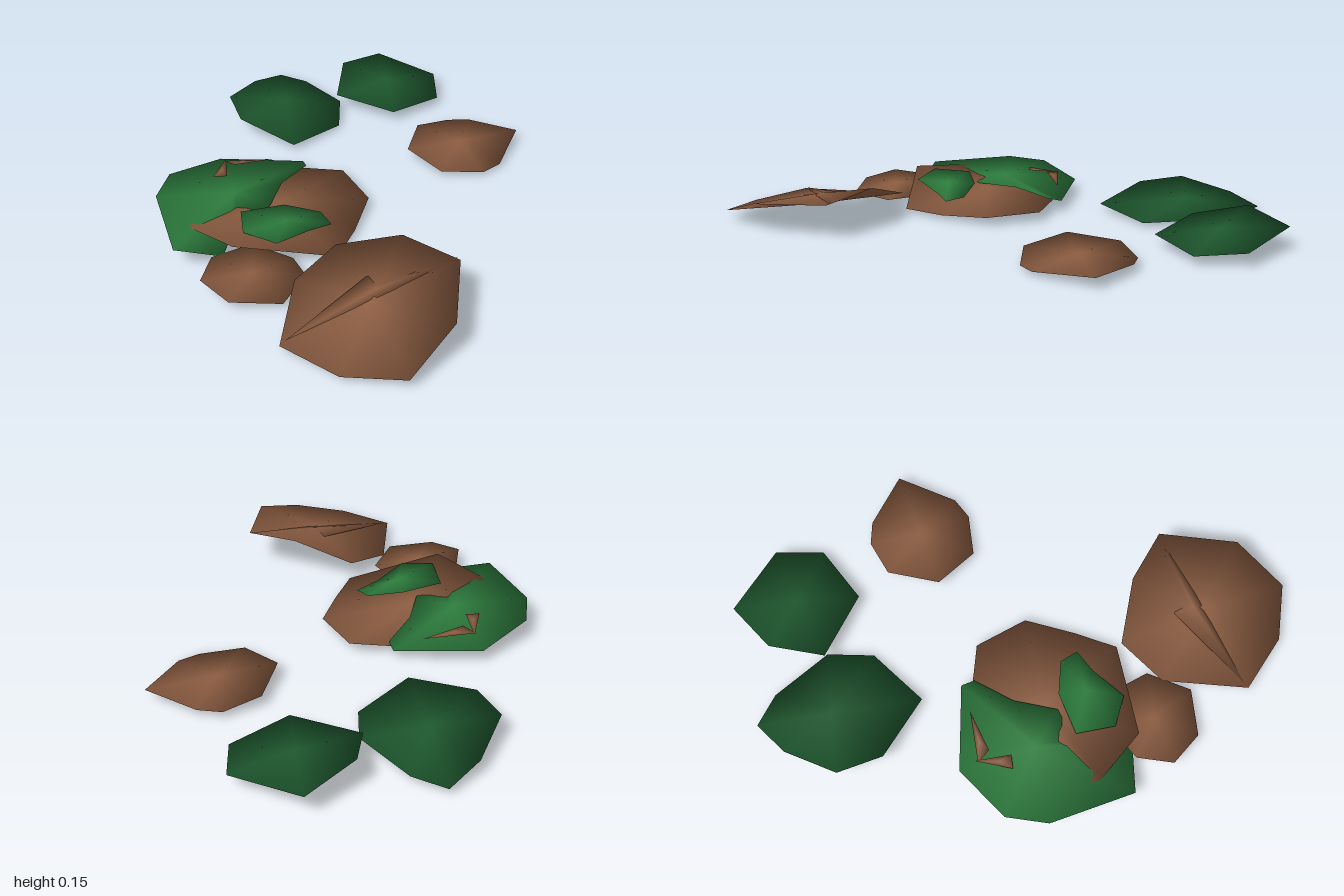
import * as THREE from 'three';

const material = (name, color) => {
  const m = new THREE.MeshStandardMaterial({ color });
  m.name = name;
  return m;
};

// Thin leaf: one shared rim, fanned to a raised and a lowered centre.
// rim: [x, y, z] corners, clockwise seen from above; up, down: bulge of each side.
function leaf(name, mat, rim, up, down) {
  const n = rim.length;
  const [x, y, z] = [0, 1, 2].map(k => rim.reduce((s, p) => s + p[k], 0) / n);
  const index = [];
  for (let i = 0; i < n; i++) {
    const j = (i + 1) % n;
    index.push(i, n, j, i, j, n + 1);
  }
  const g = new THREE.BufferGeometry();
  g.setAttribute('position', new THREE.Float32BufferAttribute(
    [...rim.flat(), x, y + up, z, x, y - down, z], 3));
  g.setIndex(index);
  g.computeVertexNormals();
  const mesh = new THREE.Mesh(g, mat);
  mesh.name = name;
  return mesh;
}

export function createModel() {
  const brown = material('dry brown', 0x8f5f43);
  const green = material('bright green', 0x2f8040);
  const dark = material('dark green', 0x1f5a30);
  const group = new THREE.Group();
  group.name = 'scatteredLeaves';

  group.add(
    // Two dark leaves at the back
    leaf('backLeafRight', dark, [
      [-0.33, 0.085, -0.77], [-0.19, 0.055, -0.93], [-0.06, 0.03, -1], [0.03, 0.03, -0.91],
      [0.12, 0.035, -0.69], [0.07, 0.015, -0.53], [-0.15, 0.03, -0.41], [-0.32, 0.07, -0.6],
    ], 0.015, 0.015),
    leaf('backLeafLeft', dark, [
      [0.11, 0.06, -0.7], [0.19, 0.11, -0.88], [0.38, 0.085, -0.97],
      [0.565, 0.055, -0.77], [0.52, 0.035, -0.6], [0.3, 0.045, -0.52],
    ], 0.012, 0.015),

    // Single brown leaf on the left
    leaf('sideLeaf', brown, [
      [0.26, 0.05, -0.22], [0.36, 0.045, -0.39], [0.5, 0.03, -0.42], [0.58, 0.035, -0.39],
      [0.725, 0.045, -0.24], [0.58, 0.02, -0.06], [0.5, 0.015, -0.03], [0.34, 0.03, -0.06],
    ], 0.012, 0.014),

    // Overlapping pile: brown leaf beneath a bright leaf
    leaf('pileBrownLeaf', brown, [
      [-0.64, 0.075, 0.1], [-0.64, 0.075, 0.03], [-0.5, 0.03, -0.2], [-0.4, 0.03, -0.29],
      [-0.18, 0.04, -0.23], [-0.02, 0.04, -0.16], [0.02, 0.035, 0.04], [-0.08, 0.02, 0.2],
      [-0.18, 0.02, 0.33], [-0.53, 0.1, 0.28],
    ], 0.014, 0.04),
    leaf('pileGreenLeaf', green, [
      [-0.73, 0.085, -0.12], [-0.66, 0.08, -0.26], [-0.45, 0.05, -0.36], [-0.15, 0.045, -0.26],
      [-0.15, 0.055, -0.21], [-0.27, 0.07, -0.1], [-0.35, 0.07, 0.04], [-0.47, 0.055, 0.06],
      [-0.56, 0.045, 0.25], [-0.72, 0.07, 0.2],
    ], 0.016, 0.01),

    // Folds showing through the pile, above and below
    leaf('greenFold', green, [
      [-0.48, 0.1, 0.21], [-0.46, 0.09, 0.07], [-0.3, 0.082, 0.06], [-0.18, 0.06, 0.11],
      [-0.16, 0.05, 0.18], [-0.25, 0.06, 0.21], [-0.38, 0.082, 0.28],
    ], 0.01, 0.008),
    leaf('greenFoldUnder', green, [
      [-0.24, 0.005, 0.04], [-0.2, 0.01, -0.1], [-0.17, 0.01, -0.06], [-0.18, 0.007, 0.09],
    ], 0.003, 0.003),
    leaf('brownFoldSide', brown, [
      [-0.51, 0.09, -0.18], [-0.44, 0.083, -0.3], [-0.46, 0.09, -0.17],
    ], 0.003, 0.003),
    leaf('brownFoldBack', brown, [
      [-0.45, 0.082, -0.29], [-0.26, 0.075, -0.26], [-0.42, 0.09, -0.24],
    ], 0.003, 0.003),

    // Brown leaves at the front, the large one with a raised fold
    leaf('smallFrontLeaf', brown, [
      [-0.66, 0.055, 0.37], [-0.6, 0.05, 0.25], [-0.45, 0.04, 0.2], [-0.33, 0.025, 0.3],
      [-0.31, 0.02, 0.4], [-0.42, 0.025, 0.53], [-0.59, 0.04, 0.49],
    ], 0.01, 0.01),
    leaf('largeFrontLeaf', brown, [
      [-0.48, 0.03, 0.73], [-0.36, 0.04, 0.44], [-0.19, 0.08, 0.34], [0.01, 0.155, 0.45],
      [0.155, 0.135, 0.61], [0.04, 0.115, 0.88], [-0.15, 0.04, 1], [-0.34, 0.025, 0.91],
    ], 0.014, 0.025),
    leaf('largeLeafFold', brown, [
      [-0.46, 0.038, 0.72], [-0.15, 0.098, 0.56], [0.15, 0.14, 0.6], [-0.1, 0.102, 0.66],
    ], 0.008, 0.008),
  );
  return group;
}
